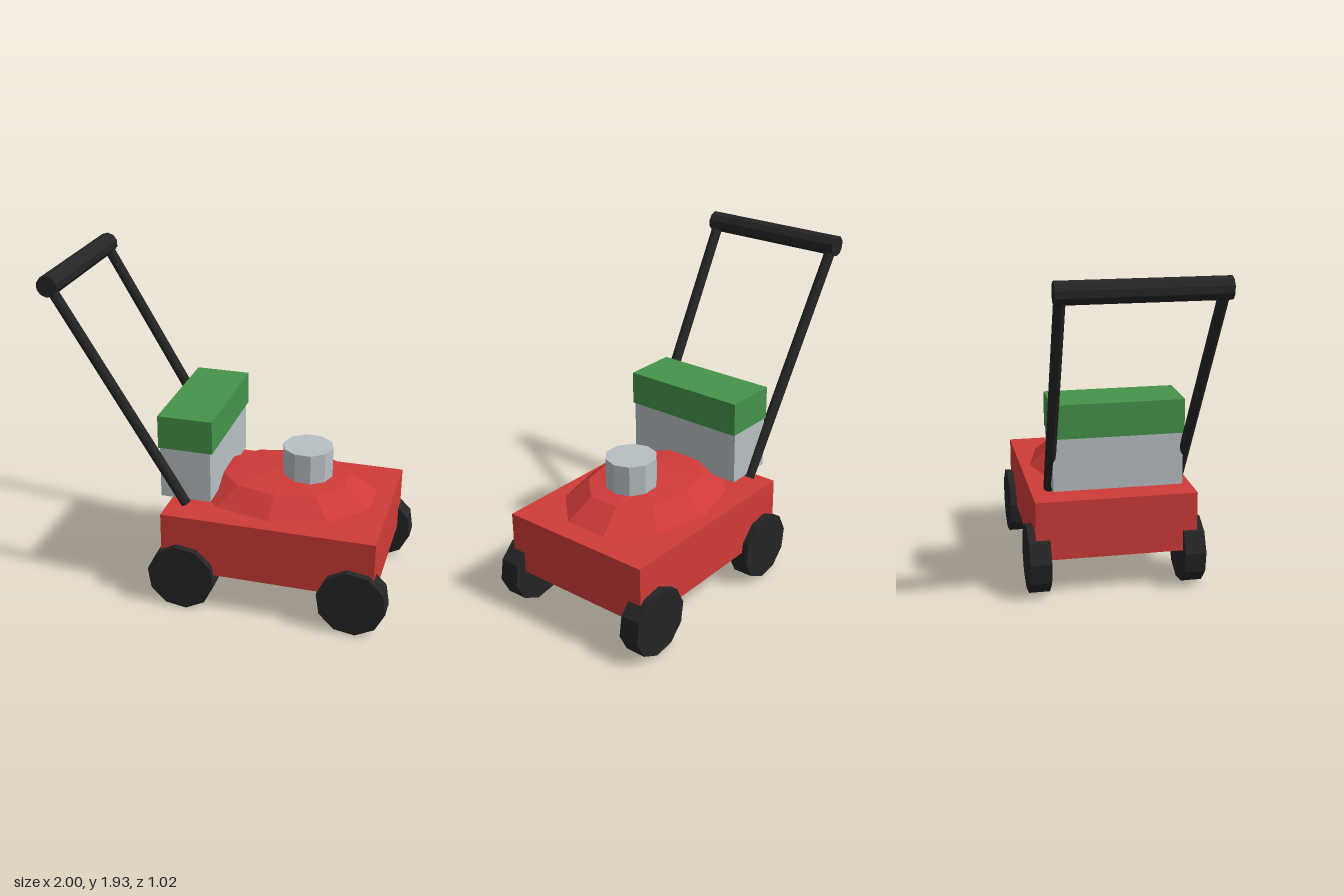
import * as THREE from 'three';

const paint = (color) => new THREE.MeshStandardMaterial({ color, flatShading: true });

export function createModel() {
  const model = new THREE.Group();
  model.name = 'lawnMower';
  const red = paint(0xd03b38);
  const green = paint(0x45944a);
  const steel = paint(0xb8c0c4);
  const black = paint(0x252525);

  const add = (name, geometry, material, x = 0, y = 0, z = 0) => {
    const mesh = new THREE.Mesh(geometry, material);
    mesh.name = name;
    mesh.position.set(x, y, z);
    model.add(mesh);
    return mesh;
  };

  // Box given by its lower and upper corners, centred on z
  const addBox = (name, material, x0, x1, y0, y1, depth) =>
    add(name, new THREE.BoxGeometry(x1 - x0, y1 - y0, depth), material, (x0 + x1) / 2, (y0 + y1) / 2, 0);

  // Cylinder running between two points
  const addRod = (name, material, a, b, radius, sides) => {
    const dir = new THREE.Vector3().subVectors(b, a);
    const rod = add(name, new THREE.CylinderGeometry(radius, radius, dir.length(), sides), material);
    rod.position.addVectors(a, b).multiplyScalar(0.5);
    rod.quaternion.setFromUnitVectors(new THREE.Vector3(0, 1, 0), dir.normalize());
  };

  // Cutting deck
  addBox('deck', red, -0.32, 0.92, 0.225, 0.575, 0.94);

  // Faceted oval cover over the blade, stretched lengthwise
  const profile = [[0, 0], [0.42, 0], [0.296, 0.105], [0, 0.145]].map(([r, y]) => new THREE.Vector2(r, y));
  const cover = new THREE.LatheGeometry(profile, 10);
  cover.scale(1.3, 1, 1);
  add('deckCover', cover, red, 0.3, 0.6, 0);

  // Motor cap, with a corner pointing forward along x
  const cap = new THREE.CylinderGeometry(0.148, 0.148, 0.215, 10);
  cap.rotateY(Math.PI / 2);
  add('motorCap', cap, steel, 0.428, 0.7875, 0);

  // Grass box and its lid
  addBox('grassBox', steel, -0.345, -0.05, 0.645, 0.95, 0.74);
  addBox('grassBoxLid', green, -0.355, -0.037, 0.95, 1.145, 0.75);

  // Four wheels
  const wheel = new THREE.CylinderGeometry(0.2, 0.2, 0.122, 10);
  wheel.rotateX(Math.PI / 2);
  wheel.rotateZ(Math.PI / 20);
  for (const [end, x] of [['front', 0.802], ['rear', -0.195]]) {
    for (const side of [1, -1]) {
      add(end + (side > 0 ? 'RightWheel' : 'LeftWheel'), wheel, black, x, 0.1975, side * 0.449);
    }
  }

  // Push handle: two slanted legs and a grip bar
  for (const side of [1, -1]) {
    addRod(
      side > 0 ? 'rightHandleLeg' : 'leftHandleLeg', black,
      new THREE.Vector3(-0.195, 0.62, side * 0.375),
      new THREE.Vector3(-0.94, 1.865, side * 0.413), 0.031, 10
    );
  }
  addRod('handleGrip', black, new THREE.Vector3(-0.94, 1.865, -0.445), new THREE.Vector3(-0.94, 1.865, 0.445), 0.061, 10);

  return model;
}
